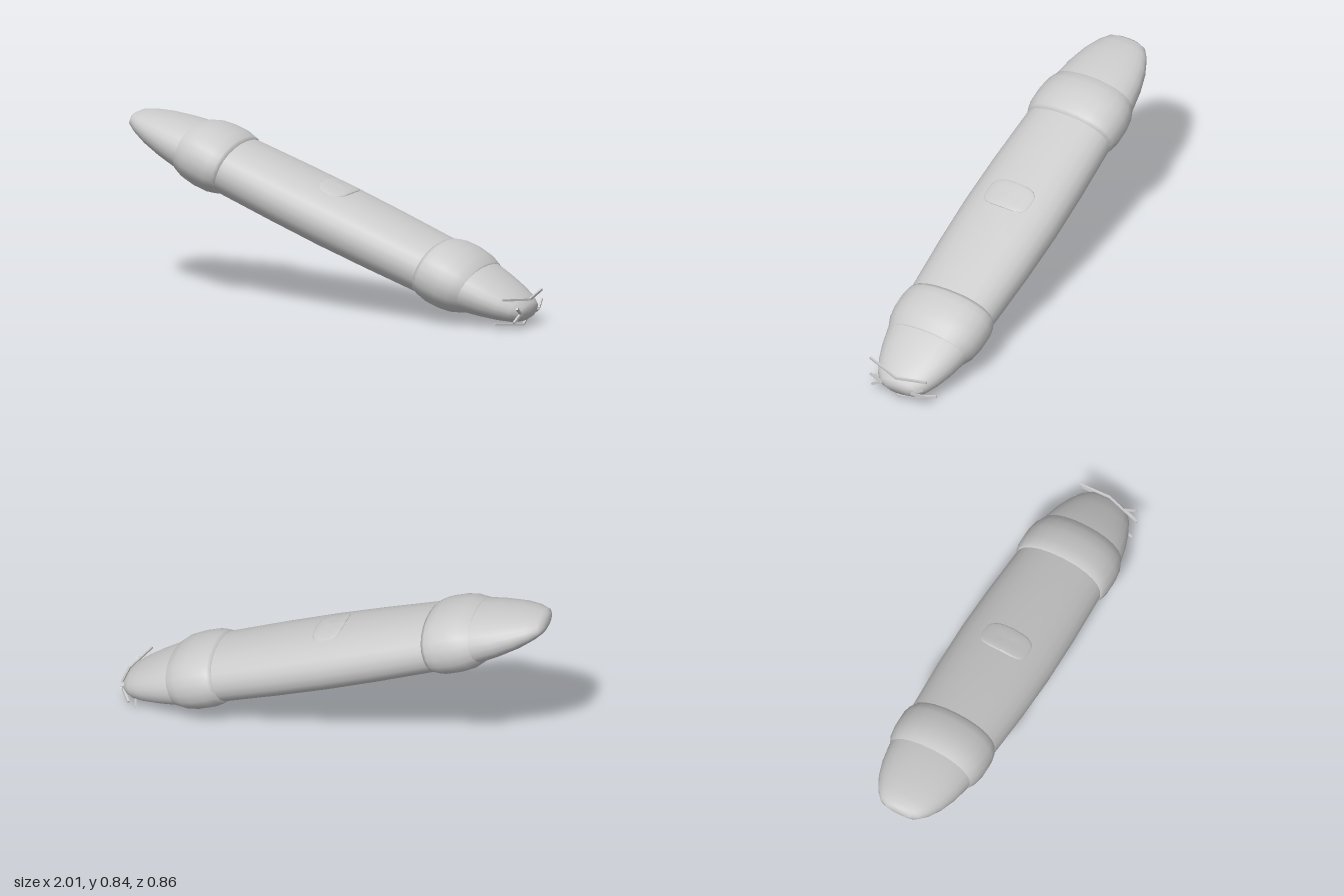
import * as THREE from 'three';

const material = new THREE.MeshStandardMaterial({ color: 0xcccccc, side: THREE.DoubleSide });
const SIDES = 24;

// Lofts oval rings [position along axis, half width, half height] into a capped skin
function loft(name, rings) {
  const pos = [], index = [];
  const full = [[rings[0][0], 0, 0], ...rings, [rings[rings.length - 1][0], 0, 0]];
  const squash = (v) => Math.sign(v) * Math.pow(Math.abs(v), 0.92);
  for (const [t, a, b] of full) {
    for (let i = 0; i < SIDES; i++) {
      const q = (i / SIDES) * Math.PI * 2;
      pos.push(t, b * squash(Math.sin(q)), a * squash(Math.cos(q)));
    }
  }
  for (let r = 0; r < full.length - 1; r++) {
    for (let i = 0; i < SIDES; i++) {
      const j = (i + 1) % SIDES;
      const p = r * SIDES + i, q = r * SIDES + j;
      index.push(p, p + SIDES, q, q, p + SIDES, q + SIDES);
    }
  }
  const geometry = new THREE.BufferGeometry();
  geometry.setAttribute('position', new THREE.Float32BufferAttribute(pos, 3));
  geometry.setIndex(index);
  geometry.computeVertexNormals();
  const mesh = new THREE.Mesh(geometry, material);
  mesh.name = name;
  return mesh;
}

// Thin square rod between two points
function rod(a, b) {
  const from = new THREE.Vector3(...a), to = new THREE.Vector3(...b);
  const mesh = new THREE.Mesh(new THREE.BoxGeometry(0.01, 0.01, from.distanceTo(to)), material);
  mesh.position.copy(from).lerp(to, 0.5);
  mesh.lookAt(to);
  return mesh;
}

export function createModel() {
  const model = new THREE.Group();
  model.name = 'model';

  // Body frame: x runs along the tilted axis, z stays level
  const body = new THREE.Group();
  body.name = 'body';
  const axis = new THREE.Vector3(1, -0.385, -0.31).normalize();
  const side = new THREE.Vector3(-axis.z, 0, axis.x).normalize();
  const up = new THREE.Vector3().crossVectors(side, axis);
  body.quaternion.setFromRotationMatrix(new THREE.Matrix4().makeBasis(axis, up, side));
  body.position.y = 0.427;
  model.add(body);

  // Long hull, slightly fuller in the middle
  body.add(loft('hull', [
    [-0.74, 0.2, 0.12], [-0.55, 0.219, 0.131], [-0.25, 0.233, 0.136], [0, 0.238, 0.138],
    [0.25, 0.233, 0.136], [0.55, 0.219, 0.131], [0.74, 0.2, 0.12],
  ]));

  // Swollen collars at both ends of the hull
  for (const s of [-1, 1]) {
    const rings = [
      [0.53, 0.215, 0.126], [0.56, 0.227, 0.14], [0.6, 0.235, 0.15],
      [0.67, 0.235, 0.151], [0.73, 0.226, 0.143], [0.78, 0.206, 0.122], [0.79, 0.19, 0.11],
    ].map(([t, a, b]) => [s * t, a, b]);
    body.add(loft(s < 0 ? 'noseCollar' : 'tailCollar', s < 0 ? rings.reverse() : rings));
  }

  // Tapered nose and tail with blunt tips
  body.add(loft('nose', [
    [-1.1, 0.06, 0.022], [-1.085, 0.098, 0.038], [-1.04, 0.133, 0.058], [-0.97, 0.166, 0.08],
    [-0.88, 0.192, 0.1], [-0.78, 0.208, 0.118], [-0.7, 0.21, 0.122],
  ]));
  body.add(loft('tail', [
    [0.7, 0.21, 0.122], [0.78, 0.207, 0.117], [0.87, 0.187, 0.1], [0.95, 0.16, 0.082],
    [1.01, 0.13, 0.064], [1.045, 0.098, 0.045], [1.06, 0.06, 0.026],
  ]));

  // Low rounded panels set into the top and underside
  for (const s of [-1, 1]) {
    const panel = new THREE.Mesh(new THREE.SphereGeometry(1, 24, 12), material);
    panel.name = s > 0 ? 'topPanel' : 'bottomPanel';
    const p = panel.geometry.attributes.position;
    for (let i = 0; i < p.count; i++) {
      const soften = (v) => Math.sign(v) * Math.pow(Math.abs(v), 0.6);
      const z = soften(p.getZ(i)) * 0.12;
      const crown = 0.138 * Math.sqrt(1 - (z / 0.238) ** 2);
      p.setXYZ(i, soften(p.getX(i)) * 0.075, s * (crown + s * soften(p.getY(i)) * 0.007), z);
    }
    panel.geometry.computeVertexNormals();
    panel.position.x = s > 0 ? -0.035 : 0;
    body.add(panel);
  }

  // Four bent rods around the tail tip
  const fins = {
    topFin: [[0.95, 0.145, -0.11], [0.95, 0.125, -0.29], [0.89, 0.145, -0.43]],
    bottomFin: [[0.91, 0.03, -0.1], [0.92, 0.006, -0.28], [0.82, 0.03, -0.42]],
    leftFin: [[0.995, 0.105, -0.16], [0.97, 0.07, -0.21], [0.98, 0.037, -0.155]],
    rightFin: [[0.9, 0.105, -0.42], [0.93, 0.07, -0.37], [0.86, 0.042, -0.42]],
  };
  for (const [name, [a, bend, b]] of Object.entries(fins)) {
    const fin = new THREE.Group();
    fin.name = name;
    fin.add(rod(a, bend), rod(bend, b));
    model.add(fin);
  }
  return model;
}
